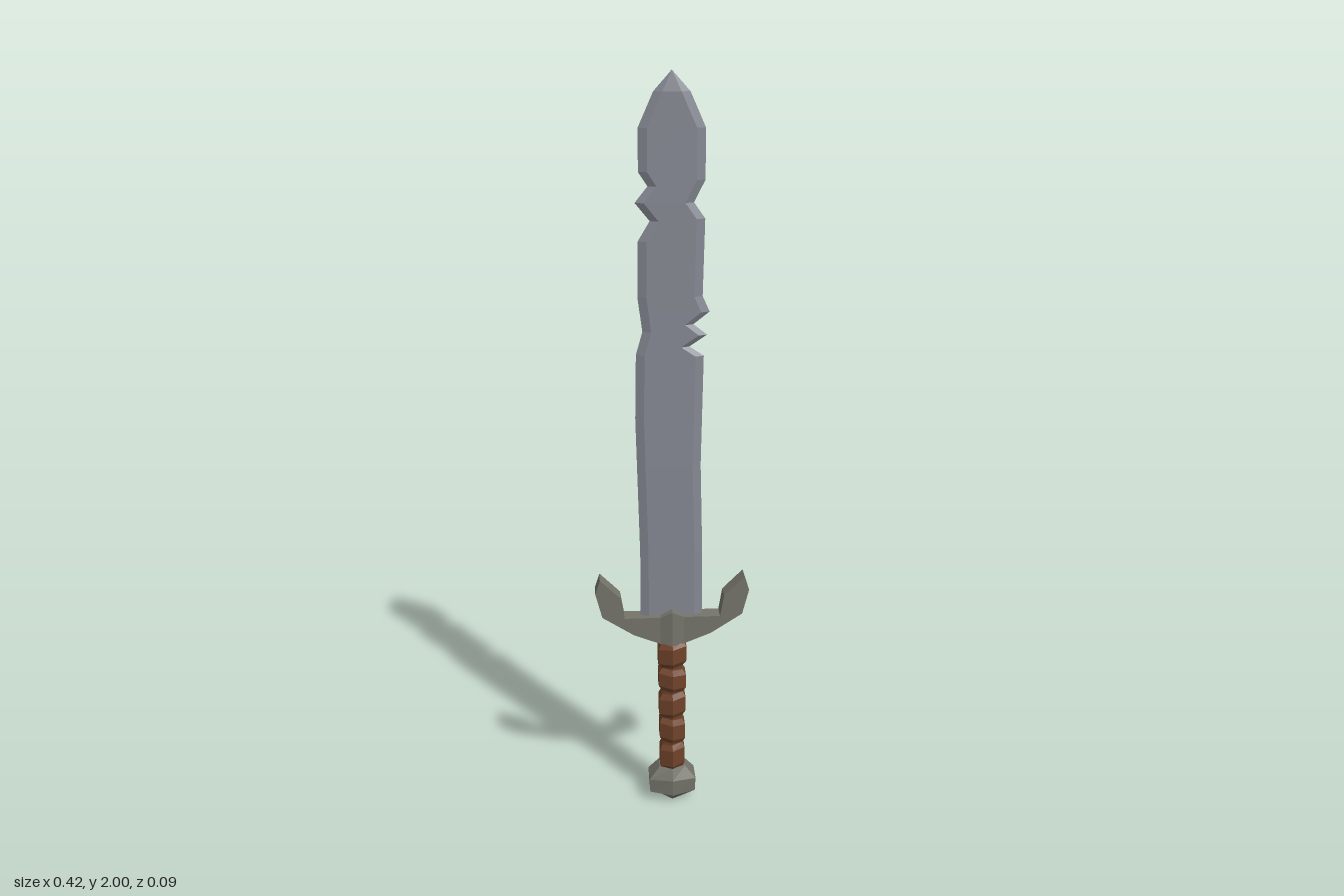
import * as THREE from 'three';

const mat = (name, color) => {
  const m = new THREE.MeshStandardMaterial({ color, flatShading: true });
  m.name = name;
  return m;
};

// Skin closed rings of [x, y, z] points, listed bottom to top, capped at both ends
function loft(rings) {
  const pos = [];
  const tri = (a, b, c) => pos.push(...a, ...b, ...c);
  const n = rings[0].length;
  for (let i = 0; i < rings.length - 1; i++) {
    for (let j = 0; j < n; j++) {
      const k = (j + 1) % n, lo = rings[i], hi = rings[i + 1];
      tri(lo[j], lo[k], hi[k]);
      tri(lo[j], hi[k], hi[j]);
    }
  }
  const first = rings[0], last = rings[rings.length - 1];
  for (let j = 1; j < n - 1; j++) {
    tri(first[0], first[j + 1], first[j]);
    tri(last[0], last[j], last[j + 1]);
  }
  const g = new THREE.BufferGeometry();
  g.setAttribute('position', new THREE.Float32BufferAttribute(pos, 3));
  g.computeVertexNormals();
  return g;
}

// Six-sided ring with its ridges on the front and back; tilt slants it along x
const hexRing = (y, w, ridge, side, tilt = 0, ridgeY = y) => [
  [0, ridgeY, ridge], [w, y + tilt * w, side], [w, y + tilt * w, -side],
  [0, ridgeY, -ridge], [-w, y - tilt * w, -side], [-w, y - tilt * w, side],
];

// x of a blade edge at height y
function edgeAt(edge, y) {
  for (let i = 0; i < edge.length - 1; i++) {
    const [x0, y0] = edge[i], [x1, y1] = edge[i + 1];
    if (y <= y1) return x0 + (x1 - x0) * (y - y0) / (y1 - y0);
  }
  return edge[edge.length - 1][0];
}

function bladeGeometry() {
  // Nicked edges as [x, y] points
  const left = [[-0.085, 0.54], [-0.085, 0.75], [-0.095, 1.13], [-0.092, 1.3], [-0.075, 1.36],
    [-0.087, 1.45], [-0.085, 1.59], [-0.055, 1.64], [-0.092, 1.685], [-0.06, 1.725],
    [-0.083, 1.76], [-0.083, 1.865], [-0.045, 1.95], [0, 2]];
  const right = [[0.082, 0.54], [0.082, 0.75], [0.076, 1.0], [0.082, 1.295], [0.045, 1.32],
    [0.09, 1.35], [0.055, 1.378], [0.096, 1.41], [0.078, 1.45], [0.083, 1.645],
    [0.055, 1.685], [0.083, 1.74], [0.083, 1.865], [0.045, 1.95], [0, 2]];
  const ys = [...new Set([...left, ...right].map(p => p[1]))].sort((a, b) => a - b);
  return loft(ys.map(y => {
    const l = edgeAt(left, y), r = edgeAt(right, y);
    const bevel = Math.min(0.022, (r - l) / 2);
    const t = y > 1.99 ? 0.001 : 0.009;
    return [[l + bevel, y, t], [r - bevel, y, t], [r, y, 0],
      [r - bevel, y, -t], [l + bevel, y, -t], [l, y, 0]];
  }));
}

function guardGeometry() {
  // Half outline from the centre bottom out to the horn and back
  const half = [[0.03, 0.49], [0.105, 0.52], [0.19, 0.575], [0.208, 0.645], [0.195, 0.685],
    [0.14, 0.63], [0.13, 0.57], [0.03, 0.57]];
  const mirrored = half.map(([x, y]) => [-x, y]).reverse();
  const shape = new THREE.Shape([...half, ...mirrored].map(p => new THREE.Vector2(...p)));
  const g = new THREE.ExtrudeGeometry(shape, { depth: 0.048, bevelEnabled: false });
  g.translate(0, 0, -0.024);
  return g;
}

function gripGeometry() {
  // Five wrapped bulges between slanted grooves
  const grooves = [0.095, 0.18, 0.26, 0.34, 0.415, 0.495];
  const rings = [];
  for (let i = 0; i < 5; i++) {
    const a = grooves[i], b = grooves[i + 1], w = 0.034 + i * 0.0012;
    const tilt = i % 2 ? -0.1 : 0.12;
    rings.push(hexRing(a + 0.003, 0.028, 0.032, 0.018, tilt));
    rings.push(hexRing(a + 0.018, w, 0.041, 0.023, tilt));
    rings.push(hexRing(b - 0.018, w, 0.041, 0.023, tilt));
    rings.push(hexRing(b - 0.003, 0.028, 0.032, 0.018, tilt));
  }
  return loft(rings);
}

export function createModel() {
  const steel = mat('blade steel', 0x858892);
  const iron = mat('guard iron', 0x74746a);
  const leather = mat('grip leather', 0x70432a);

  const group = new THREE.Group();
  group.name = 'sword';
  const add = (name, geometry, material) => {
    const mesh = new THREE.Mesh(geometry, material);
    mesh.name = name;
    group.add(mesh);
  };

  add('blade', bladeGeometry(), steel);
  add('crossguard', guardGeometry(), iron);
  // Ridged block at the middle of the guard
  add('guardCentre', loft([
    hexRing(0.495, 0.032, 0.034, 0.024, 0, 0.485),
    hexRing(0.57, 0.032, 0.034, 0.024, 0, 0.588),
  ]), iron);
  add('grip', gripGeometry(), leather);
  add('pommel', loft([
    hexRing(0.012, 0.03, 0.025, 0.016, 0, 0),
    hexRing(0.03, 0.063, 0.045, 0.031, 0, 0.022),
    hexRing(0.07, 0.065, 0.047, 0.033),
    hexRing(0.105, 0.036, 0.034, 0.022),
  ]), iron);
  return group;
}
